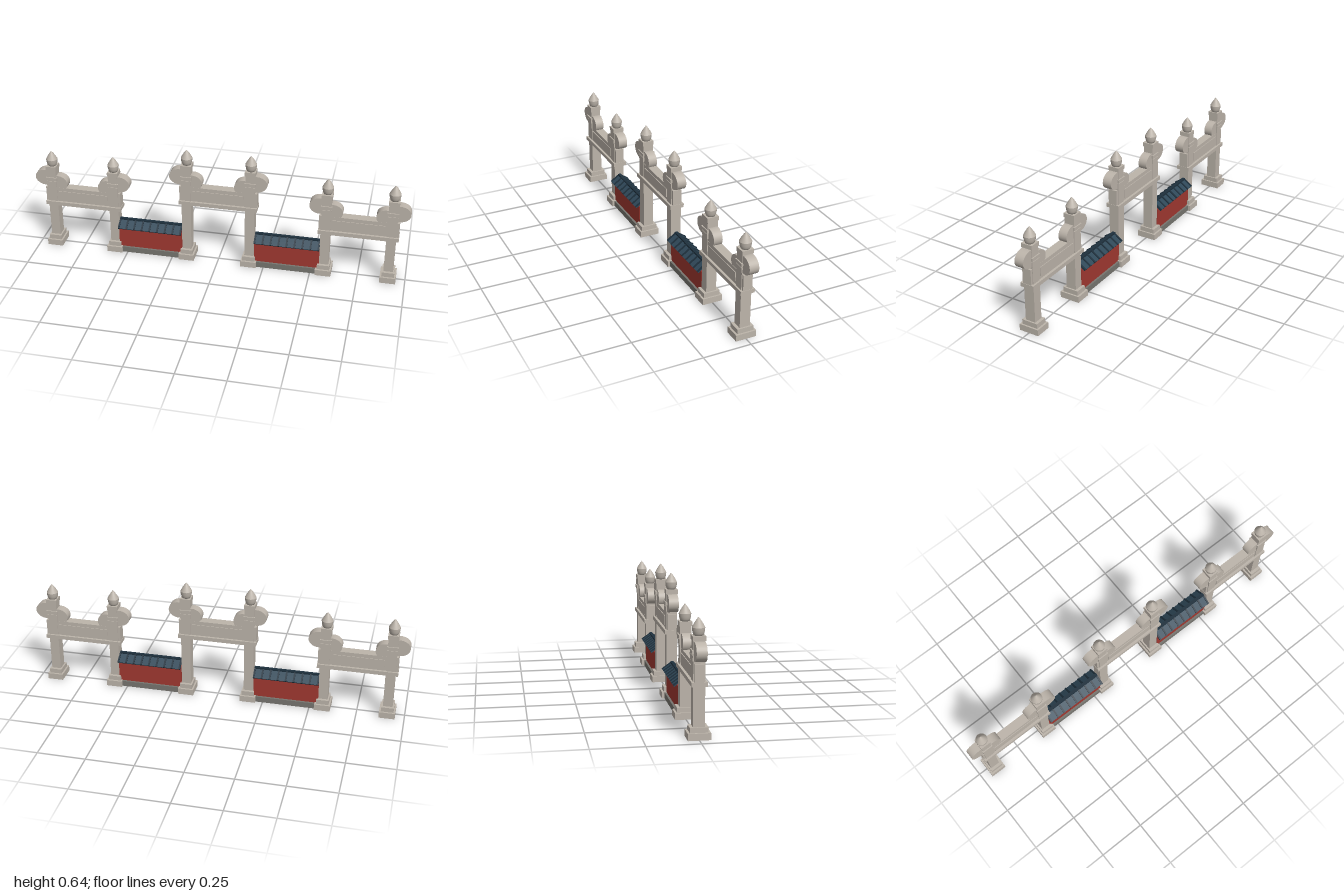
import * as THREE from 'three';

const mat = (name, color) => {
  const m = new THREE.MeshStandardMaterial({ color });
  m.name = name;
  return m;
};

export function createModel() {
  const stone = mat('pale stone', 0xbcb4aa);
  const plinthGrey = mat('plinth grey', 0x77756f);
  const red = mat('wall red', 0xa03830);
  const tile = mat('roof tile blue', 0x2f4858);
  const tileDark = mat('dark tile', 0x1e303d);

  const add = (parent, name, geometry, material, x = 0, y = 0, z = 0) => {
    const mesh = new THREE.Mesh(geometry, material);
    mesh.name = name;
    mesh.position.set(x, y, z);
    parent.add(mesh);
    return mesh;
  };
  // Box spanning y0..y1, centred in x and z
  const box = (parent, name, w, y0, y1, d, material, x = 0, z = 0) =>
    add(parent, name, new THREE.BoxGeometry(w, y1 - y0, d), material, x, (y0 + y1) / 2, z);
  const group = (parent, name, x = 0) => {
    const g = new THREE.Group();
    g.name = name;
    g.position.x = x;
    parent.add(g);
    return g;
  };

  // Pointed bud: smooth bowl below, smooth tip above, crease between
  const lathe = pts => new THREE.LatheGeometry(pts.map(p => new THREE.Vector2(...p)), 24);
  const bowl = lathe([[0, 0], [0.022, 0], [0.026, 0.01], [0.029, 0.022], [0.03, 0.036]]);
  const tip = lathe([[0.03, 0.036], [0.021, 0.053], [0.011, 0.069], [0, 0.083]]);
  const disc = (rx, ry, d) =>
    new THREE.CylinderGeometry(1, 1, d, 32).rotateX(Math.PI / 2).scale(rx, ry, 1);

  // One pillar; side is the outward x direction, lift raises the upper parts
  function pillar(parent, x, side, lift) {
    const p = group(parent, 'pillar', x);
    box(p, 'baseSlab', 0.084, 0, 0.033, 0.107, stone);
    box(p, 'baseStep', 0.066, 0.033, 0.058, 0.086, stone);
    box(p, 'shaft', 0.05, 0.058, 0.453 + lift, 0.055, stone);
    box(p, 'collar', 0.054, 0.363 + lift, 0.388 + lift, 0.061, stone);
    box(p, 'plaque', 0.06, 0.394 + lift, 0.411 + lift, 0.067, stone);
    box(p, 'capital', 0.056, 0.453 + lift, 0.475 + lift, 0.061, stone);
    add(p, 'finialBowl', bowl, stone, 0, 0.475 + lift);
    add(p, 'finialTip', tip, stone, 0, 0.475 + lift);
    add(p, 'outerCloudScroll', disc(0.055, 0.045, 0.049), stone, side * 0.035, 0.407 + lift);
    add(p, 'innerCloudScroll', disc(0.051, 0.045, 0.047), stone, side * -0.034, 0.376 + lift);
  }

  // Gate: two pillars, a moulding and a panelled beam
  function gate(parent, x, lift) {
    const g = group(parent, 'gate', x);
    for (const side of [-1, 1]) pillar(g, side * 0.17, side, lift);
    box(g, 'lowerMoulding', 0.418, 0.247 + lift, 0.268 + lift, 0.074, stone);
    box(g, 'beam', 0.414, 0.268 + lift, 0.35 + lift, 0.048, stone);
    box(g, 'beamPanel', 0.27, 0.283 + lift, 0.33 + lift, 0.055, stone);
  }

  // Low wall with a tiled double-pitched roof
  function wall(parent, x) {
    const w = group(parent, 'wall', x);
    const len = 0.348;
    box(w, 'plinth', len, 0, 0.031, 0.08, plinthGrey);
    box(w, 'wallPanel', len, 0.031, 0.15, 0.058, red);
    const angle = Math.atan2(0.035, 0.05);
    for (const side of [-1, 1]) {
      const slope = group(w, 'roofSlope');
      slope.position.set(0, 0.167, side * 0.025);
      slope.rotation.x = side * angle;
      add(slope, 'roofSlab', new THREE.BoxGeometry(len, 0.007, 0.06), tile);
      for (let i = 0; i <= 8; i++) {
        add(slope, 'tileRib', new THREE.BoxGeometry(0.009, 0.007, 0.06), tileDark,
          (i / 8 - 0.5) * (len - 0.009), 0.004);
      }
    }
    box(w, 'roofRidge', len, 0.178, 0.192, 0.016, tileDark);
  }

  const model = new THREE.Group();
  model.name = 'memorialGateway';
  gate(model, 0, 0.087);
  for (const side of [-1, 1]) {
    gate(model, side * 0.74, 0);
    wall(model, side * 0.372);
  }
  return model;
}
